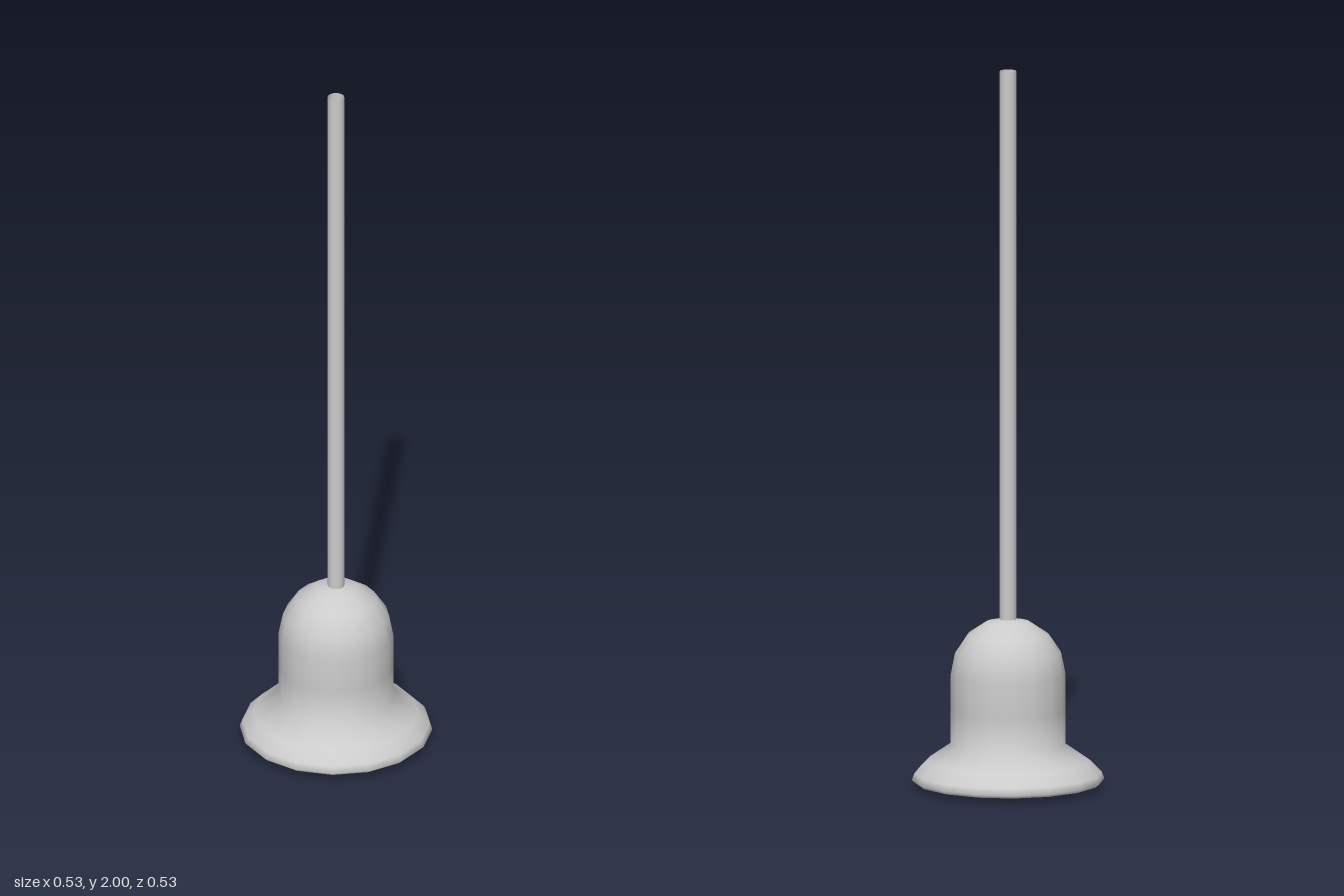
import * as THREE from 'three';

const SIDES = 16;

export function createModel() {
  const model = new THREE.Group();
  model.name = 'pendantLamp';
  const material = new THREE.MeshStandardMaterial({ color: 0xcccccc, side: THREE.DoubleSide });

  const add = (name, geometry, y = 0) => {
    const mesh = new THREE.Mesh(geometry, material);
    mesh.name = name;
    mesh.position.y = y;
    model.add(mesh);
  };

  // Bell shade: small lip, flared skirt, straight wall, then a domed crown
  const profile = [
    [0.255, 0.015], [0.265, 0.024], [0.258, 0.042], [0.225, 0.076], [0.158, 0.122],
    [0.158, 0.22],
  ].map(([r, y]) => new THREE.Vector2(r, y));
  const domeRadius = 0.158, domeBase = 0.317, steps = 4;
  for (let i = 0; i <= steps; i++) {
    const a = (i / steps) * Math.PI / 2;
    const r = i === steps ? 0 : domeRadius * Math.cos(a);
    profile.push(new THREE.Vector2(r, domeBase + domeRadius * Math.sin(a)));
  }
  add('shade', new THREE.LatheGeometry(profile, SIDES));

  // Round bulb peeking out below the rim
  add('bulb', new THREE.SphereGeometry(0.085, SIDES, 12), 0.085);

  // Open hanging tube from the crown upwards
  const rodBottom = 0.465, rodTop = 2;
  add('hangingRod',
    new THREE.CylinderGeometry(0.023, 0.023, rodTop - rodBottom, SIDES, 1, true),
    (rodTop + rodBottom) / 2);

  return model;
}
